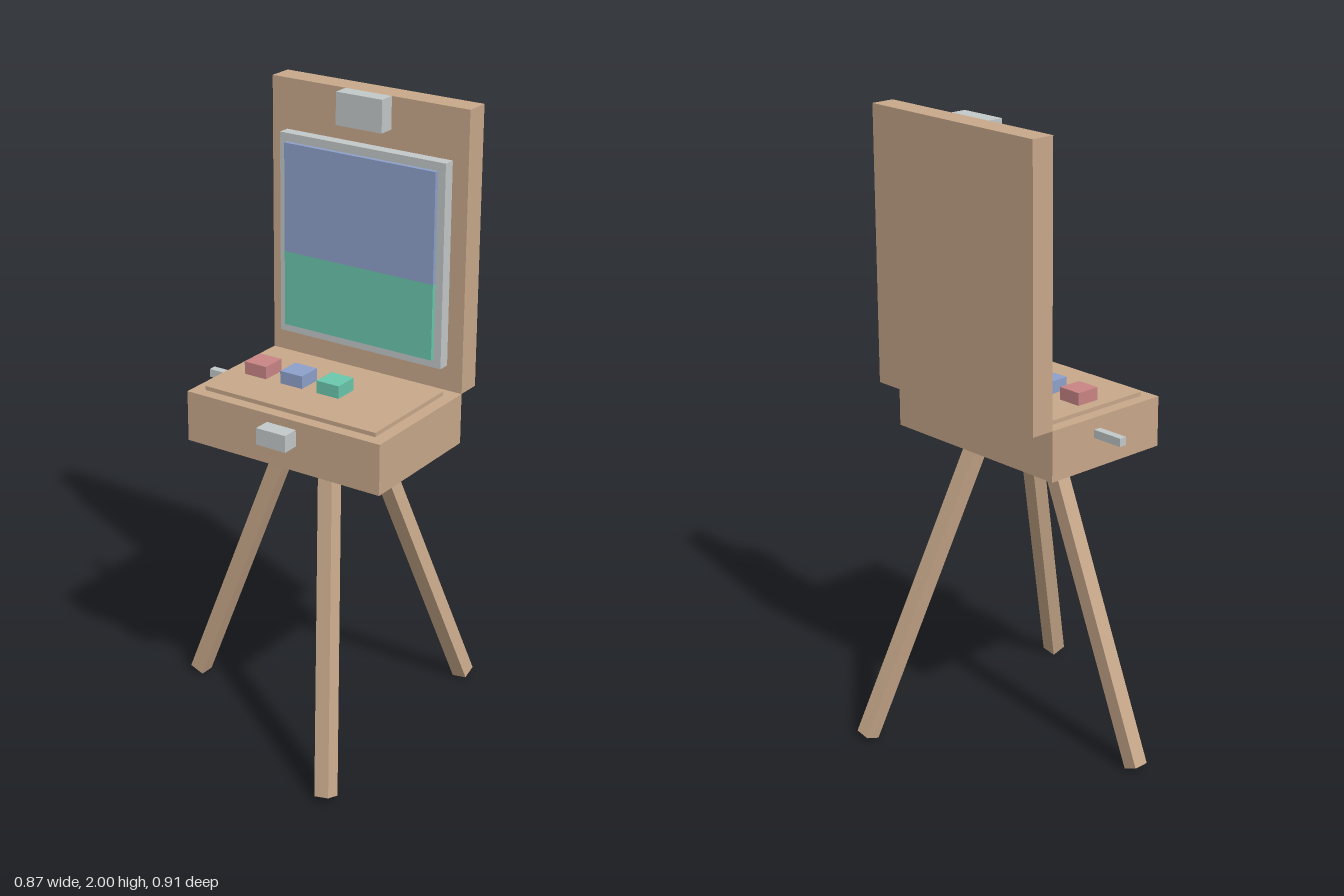
import * as THREE from 'three';

const paint = (name, color) => {
  const m = new THREE.MeshStandardMaterial({ color });
  m.name = name;
  return m;
};

export function createModel() {
  const wood = paint('wood', 0xc8a88a);
  const metal = paint('paleGrey', 0xc3c8c8);
  const blue = paint('blue', 0x8da1ca);
  const green = paint('green', 0x6ac8ac);
  const red = paint('red', 0xc98585);

  const model = new THREE.Group();
  model.name = 'fieldEasel';

  // Box given by its extents along each axis
  const block = (name, mat, [x0, x1], [y0, y1], [z0, z1]) => {
    const mesh = new THREE.Mesh(new THREE.BoxGeometry(x1 - x0, y1 - y0, z1 - z0), mat);
    mesh.position.set((x0 + x1) / 2, (y0 + y1) / 2, (z0 + z1) / 2);
    mesh.name = name;
    model.add(mesh);
  };

  // Paint box, raised tray and upright lid
  block('paintBox', wood, [-0.253, 0.433], [0.97, 1.13], [-0.175, 0.273]);
  block('tray', wood, [-0.213, 0.393], [1.13, 1.143], [-0.135, 0.235]);
  block('lid', wood, [-0.253, 0.433], [1.13, 2], [-0.253, -0.175]);

  // Canvas board with a two-tone painting, held by a top clamp
  block('canvasBoard', metal, [-0.2, 0.38], [1.21, 1.843], [-0.175, -0.137]);
  block('paintedSky', blue, [-0.175, 0.355], [1.475, 1.817], [-0.137, -0.123]);
  block('paintedField', green, [-0.175, 0.355], [1.237, 1.475], [-0.137, -0.123]);
  block('canvasClamp', metal, [0.01, 0.17], [1.9, 2], [-0.175, -0.123]);

  // Front latch and side peg
  block('latch', metal, [0.04, 0.143], [1.05, 1.103], [0.273, 0.327]);
  block('sidePeg', metal, [-0.36, -0.253], [1.066, 1.092], [-0.003, 0.022]);

  // Paint blocks on the tray
  [red, blue, green].forEach((mat, i) => {
    const x = -0.174 + i * 0.132;
    block('paintBlock', mat, [x, x + 0.079], [1.143, 1.183], [0.01, 0.09]);
  });

  // Three splayed square legs
  const up = new THREE.Vector3(0, 1, 0);
  const legs = [
    ['sideLeg', [-0.41, 0.016, 0.036], [-0.042, 0.97, 0.021]],
    ['frontLeg', [0.361, 0.016, 0.431], [0.163, 0.97, 0.126]],
    ['backLeg', [0.32, 0.016, -0.433], [0.15, 0.97, -0.103]],
  ];
  for (const [name, foot, top] of legs) {
    const a = new THREE.Vector3(...foot);
    const b = new THREE.Vector3(...top);
    const dir = b.clone().sub(a).normalize();
    b.addScaledVector(dir, 0.015);
    const leg = new THREE.Mesh(new THREE.BoxGeometry(0.05, a.distanceTo(b), 0.05), wood);
    leg.position.copy(a).add(b).multiplyScalar(0.5);
    leg.quaternion.setFromUnitVectors(up, dir);
    leg.name = name;
    model.add(leg);
  }
  return model;
}
